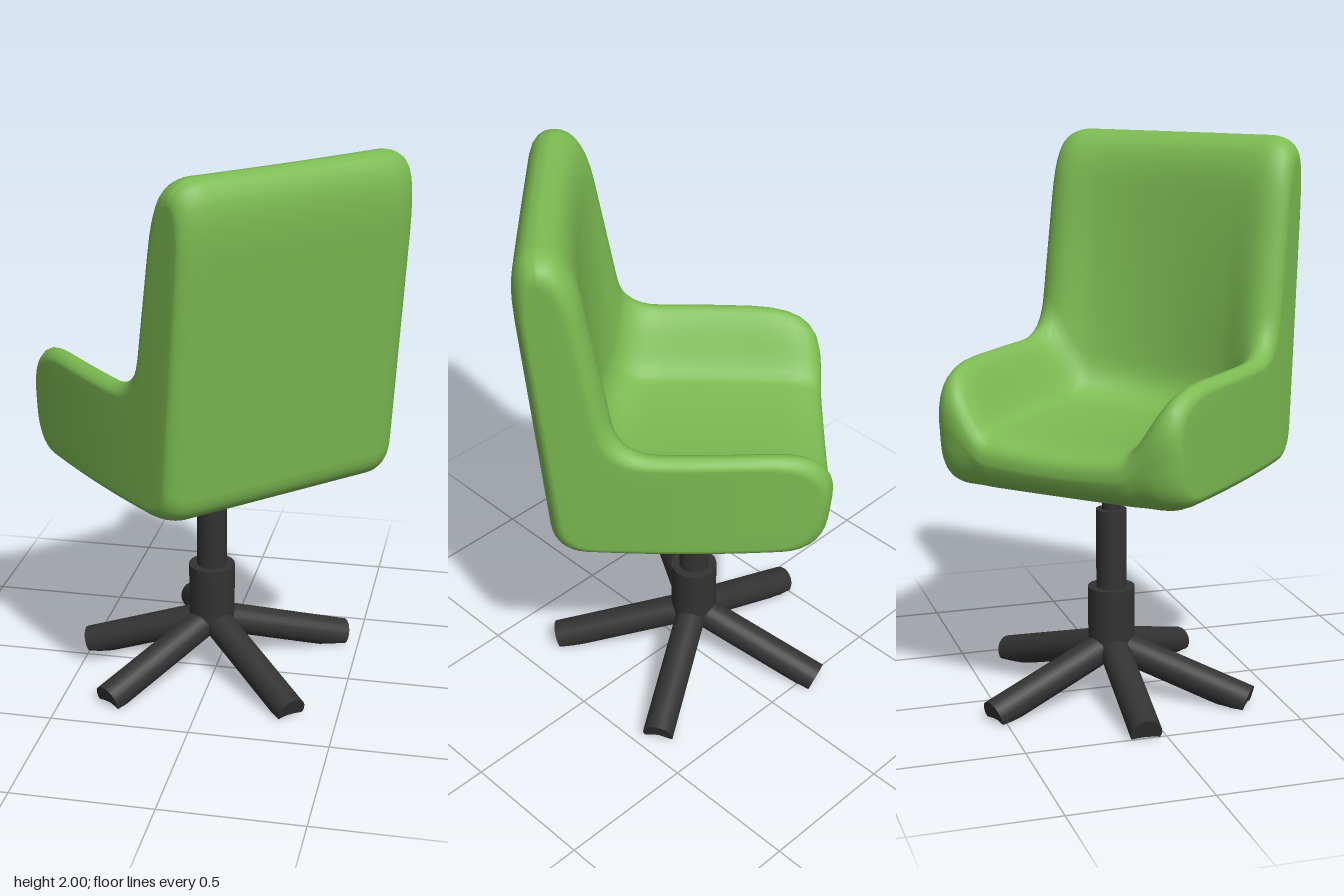
import * as THREE from 'three';

const green = new THREE.MeshStandardMaterial({ color: 0x7dbb52 });
const dark = new THREE.MeshStandardMaterial({ color: 0x333333 });
const HALF = 0.465, ROUND = 0.1, INSET = 0.05;

// Closed L-shaped side profile (z, y) with rounded corners at lateral position x, shrunk by inset d
function section(x, d) {
  const arm = THREE.MathUtils.smoothstep(Math.abs(x), 0.26, 0.44);
  const bow = (x / HALF) ** 2;
  const mix = (a, b) => THREE.MathUtils.lerp(a, b, arm);
  const top = mix(1.01 + 0.07 * bow, 1.26);
  const corners = [
    [-0.43 + d, 0.82 + d, 0.1],
    [0.505 - d, 0.82 + d, 0.13],
    [0.545 - d, top - d, mix(0.17, 0.25)],
    [mix(-0.28 + 0.17 * bow, -0.2) - d, top - d, 0.15],
    [-0.345 + 0.02 * bow - d, 2 - 1.6 * d, 0.2],
    [-0.54 + d, 2 - 1.6 * d, 0.24],
  ].map(([z, y, r]) => ({ p: new THREE.Vector2(z, y), r }));
  const n = corners.length;
  const fillets = corners.map(({ p, r }, i) => {
    const toward = (q) => {
      const len = p.distanceTo(q);
      return p.clone().lerp(q, Math.min(r, 0.48 * len) / len);
    };
    const a = toward(corners[(i + n - 1) % n].p), b = toward(corners[(i + 1) % n].p);
    return new THREE.QuadraticBezierCurve(a, p, b).getPoints(7);
  });
  const ring = [];
  fillets.forEach((pts, i) => {
    ring.push(...pts);
    const from = pts[pts.length - 1], to = fillets[(i + 1) % n][0];
    for (let k = 1; k < 6; k++) ring.push(from.clone().lerp(to, k / 6));
  });
  return ring;
}

// Upholstered shell: loft the profile across the width, rounding over at both sides
function shellGeometry() {
  const stations = [];
  const steps = 40, caps = 8, flat = HALF - ROUND;
  for (let i = 0; i <= steps; i++) stations.push([-flat + (2 * flat * i) / steps, 0]);
  for (let i = 1; i <= caps; i++) {
    const a = (i / caps) * Math.PI / 2;
    const x = flat + ROUND * Math.sin(a), d = INSET * (1 - Math.cos(a));
    stations.push([x, d]);
    stations.unshift([-x, d]);
  }
  const rings = stations.map(([x, d]) => section(x, d));
  const m = rings[0].length, pos = [], index = [];
  const addPoint = (x, p) => { // sides swell slightly mid-depth
    pos.push(x * (1 + 0.06 * (1 - (p.x / 0.5) ** 2)), p.y, p.x);
    return pos.length / 3 - 1;
  };
  rings.forEach((ring, i) => ring.forEach((p) => addPoint(stations[i][0], p)));
  for (let i = 0; i < rings.length - 1; i++) {
    for (let j = 0; j < m; j++) {
      const a = i * m + j, b = i * m + (j + 1) % m;
      index.push(a, a + m, b, b, a + m, b + m);
    }
  }
  // Side panels: rungs across the L, from the middle of the front edge to the middle of the back's top
  const front = 23, across = 6;
  for (const i of [0, rings.length - 1]) {
    const rungs = [];
    for (let k = 0; k <= m / 2; k++) {
      const lo = (front - k + m) % m, hi = (front + k) % m;
      const rung = [i * m + lo];
      for (let t = 1; t < across; t++) {
        rung.push(addPoint(stations[i][0], rings[i][lo].clone().lerp(rings[i][hi], t / across)));
      }
      rungs.push([...rung, i * m + hi]);
    }
    for (let k = 0; k < rungs.length - 1; k++) {
      for (let t = 0; t < across; t++) {
        const a = rungs[k][t], b = rungs[k][t + 1], c = rungs[k + 1][t], e = rungs[k + 1][t + 1];
        if (i === 0) index.push(a, b, c, b, e, c);
        else index.push(a, c, b, b, c, e);
      }
    }
  }
  const g = new THREE.BufferGeometry();
  g.setAttribute('position', new THREE.Float32BufferAttribute(pos, 3));
  g.setIndex(index);
  g.computeVertexNormals();
  return g;
}

function column(name, radius, y0, y1) {
  const mesh = new THREE.Mesh(new THREE.CylinderGeometry(radius, radius, y1 - y0, 32), dark);
  mesh.name = name;
  mesh.position.y = (y0 + y1) / 2;
  return mesh;
}

// Sloping round leg from the hub to the floor, cut flat at floor level
function leg(x, z) {
  const start = new THREE.Vector3(0, 0.185, 0), end = new THREE.Vector3(x, 0.02, z);
  const dir = end.clone().sub(start), len = dir.length();
  const g = new THREE.CylinderGeometry(0.056, 0.056, len, 24, 12);
  g.applyQuaternion(new THREE.Quaternion().setFromUnitVectors(new THREE.Vector3(0, 1, 0), dir.normalize()));
  g.translate(x / 2, (start.y + end.y) / 2, z / 2);
  const p = g.attributes.position;
  for (let i = 0; i < p.count; i++) p.setY(i, Math.max(0, p.getY(i)));
  const mesh = new THREE.Mesh(g, dark);
  mesh.name = 'leg';
  return mesh;
}

export function createModel() {
  const model = new THREE.Group();
  model.name = 'swivelChair';

  const shell = new THREE.Mesh(shellGeometry(), green);
  shell.name = 'upholsteredSeat';
  shell.rotation.y = -0.75 * Math.PI; // seat is swivelled on its base
  model.add(shell);

  const base = new THREE.Group();
  base.name = 'base';
  base.position.set(-0.027, 0, -0.055);
  base.add(
    column('piston', 0.033, 0.65, 0.86),
    column('pistonSleeve', 0.055, 0.36, 0.69),
    column('hub', 0.085, 0.17, 0.4),
  );
  // Leg tips relative to the hub
  for (const [x, z] of [[0.46, -0.275], [0.365, 0.375], [-0.3, 0.42], [-0.48, -0.02], [-0.17, -0.485]]) {
    base.add(leg(x, z));
  }
  model.add(base);
  return model;
}
